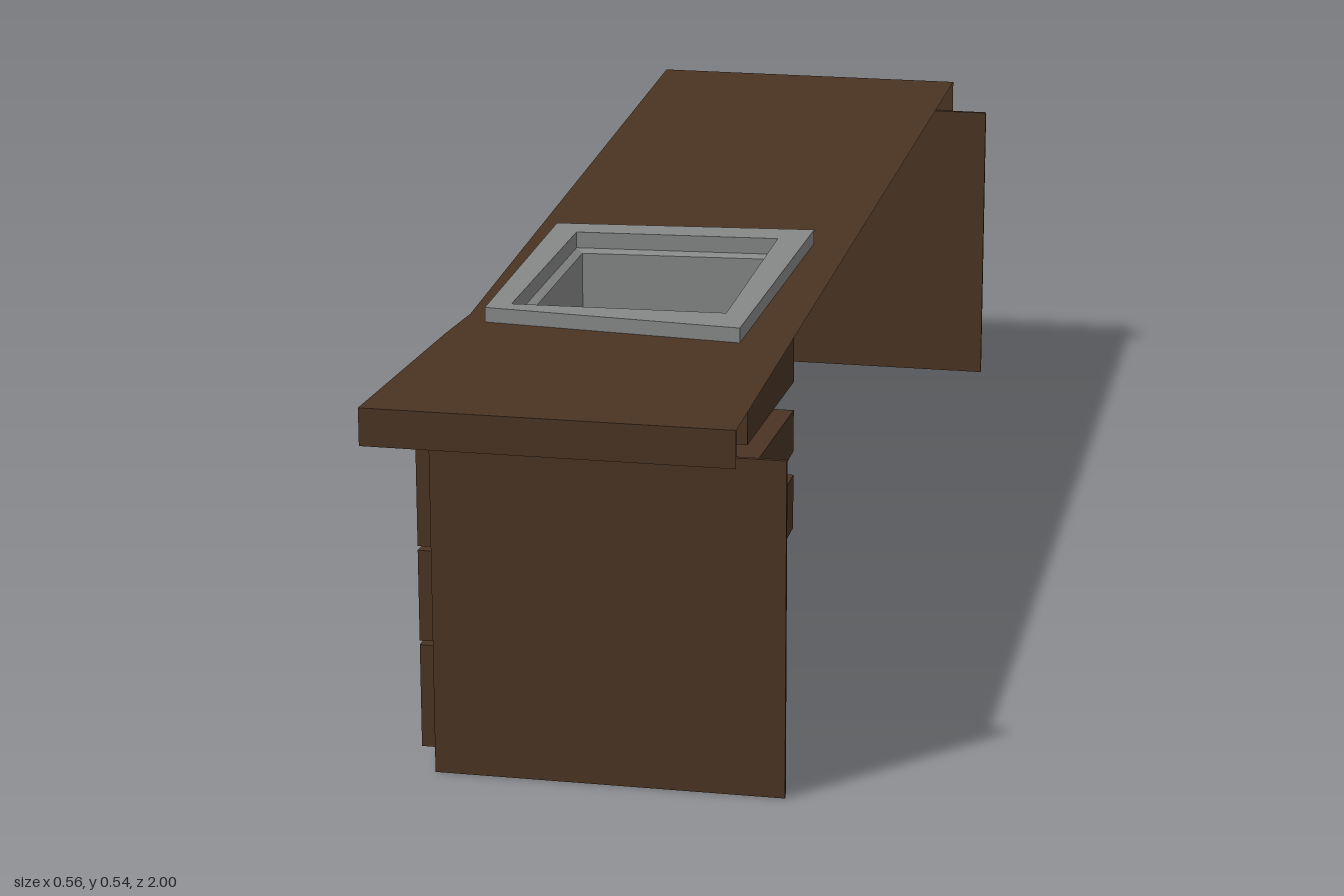
import * as THREE from 'three';

const wood = new THREE.MeshStandardMaterial({ color: 0x4a3423, side: THREE.DoubleSide });
wood.name = 'darkWood';
const steel = new THREE.MeshStandardMaterial({ color: 0x868787, side: THREE.DoubleSide });
steel.name = 'greySteel';

export function createModel() {
  const group = new THREE.Group();

  const add = (name, geometry, material) => {
    const mesh = new THREE.Mesh(geometry, material);
    mesh.name = name;
    group.add(mesh);
    return mesh;
  };
  const box = (name, material, x0, x1, y0, y1, z0, z1) => {
    const mesh = add(name, new THREE.BoxGeometry(x1 - x0, y1 - y0, z1 - z0), material);
    mesh.position.set((x0 + x1) / 2, (y0 + y1) / 2, (z0 + z1) / 2);
  };
  const toShape = (points, holes = []) => {
    const shape = new THREE.Shape(points.map(([a, b]) => new THREE.Vector2(a, b)));
    shape.holes = holes.map((h) => new THREE.Path(h.map(([a, b]) => new THREE.Vector2(a, b))));
    return shape;
  };
  // Slab with a [z, y] outline, running from x0 to x1
  const slab = (name, points, x0, x1, holes) => {
    const g = new THREE.ExtrudeGeometry(toShape(points, holes), { depth: x1 - x0, bevelEnabled: false });
    g.rotateY(-Math.PI / 2).translate(x1, 0, 0);
    return add(name, g, wood);
  };
  // Flat horizontal sheet with an [x, z] outline
  const sheet = (name, points, y, material, holes = []) => {
    const flip = (loop) => loop.map(([x, z]) => [x, -z]);
    const g = new THREE.ShapeGeometry(toShape(flip(points), holes.map(flip)));
    g.rotateX(-Math.PI / 2).translate(0, y, 0);
    add(name, g, material);
  };
  // Flat-faced skin through closed [x, z] loops at given heights
  const skin = (name, loops, material, skip = -1) => {
    const v = [];
    for (let k = 0; k < loops.length - 1; k++) {
      const [A, ya] = loops[k], [B, yb] = loops[k + 1];
      for (let i = 0; i < A.length; i++) {
        if (i === skip) continue;
        const j = (i + 1) % A.length;
        const a = [A[i][0], ya, A[i][1]], b = [A[j][0], ya, A[j][1]];
        const c = [B[j][0], yb, B[j][1]], d = [B[i][0], yb, B[i][1]];
        v.push(...a, ...b, ...c, ...a, ...c, ...d);
      }
    }
    const g = new THREE.BufferGeometry();
    g.setAttribute('position', new THREE.Float32BufferAttribute(v, 3));
    g.computeVertexNormals();
    add(name, g, material);
  };
  const rect = (a0, a1, b0, b1) => [[a0, b0], [a1, b0], [a1, b1], [a0, b1]];

  // Sink outlines, counter-clockwise seen from above
  const rim = [[-0.21, 0.585], [0.155, 0.617], [0.167, 0.09], [-0.215, 0.125]];
  const opening = [[-0.178, 0.56], [0.123, 0.548], [0.123, 0.15], [-0.175, 0.17]];
  const basin = [[-0.166, 0.549], [0.111, 0.537], [0.111, 0.161], [-0.164, 0.181]];

  // Countertop: hollow underneath and open along the +x edge
  const counter = [[0.223, 1], [0.223, -1], [-0.282, -1], [-0.255, 0],
    [-0.247, 0.3], [-0.24, 0.55], [-0.25, 0.65], [-0.275, 1]];
  sheet('countertop', counter, 0.518, wood, [opening]);
  skin('countertopEdge', [[counter, 0.466], [counter, 0.518]], wood, 0);

  // Sink
  skin('sink', [[rim, 0.51], [rim, 0.539], [opening, 0.539], [opening, 0.515],
    [basin, 0.51], [basin, 0.418]], steel);
  skin('sinkOuterWall', [[opening, 0.515], [opening, 0.418]], steel);
  sheet('sinkBottom', opening, 0.418, steel);

  // End panels
  box('endPanelBack', wood, -0.193, 0.281, 0, 0.467, -1, -0.994);
  box('endPanelFront', wood, -0.193, 0.281, 0, 0.467, 0.952, 0.958);

  // Face frame with two door openings and two drawer openings
  slab('faceFrame', rect(-1, 0.958, 0, 0.466), -0.193, -0.183, [
    rect(-0.955, -0.5, 0.035, 0.445), rect(-0.48, -0.022, 0.035, 0.445),
    rect(0.045, 0.425, 0.05, 0.4), rect(0.51, 0.905, 0.05, 0.4),
  ]);

  // Handle bar with two posts, along z or y
  const handle = (name, y, z, upright) => {
    const h = upright ? 0.07 : 0.0125, w = upright ? 0.0125 : 0.08;
    box(name + 'Bar', steel, -0.253, -0.234, y - h, y + h, z - w, z + w);
    for (const s of [-1, 1]) {
      const py = upright ? y + s * 0.06 : y, pz = upright ? z : z + s * 0.068;
      const ph = upright ? 0.01 : h, pw = upright ? w : 0.012;
      box(name + 'Post', steel, -0.234, -0.217, py - ph, py + ph, pz - pw, pz + pw);
    }
  };

  // Doors
  for (const [z0, z1, hz] of [[-0.962, -0.492, -0.565], [-0.488, -0.016, -0.425]]) {
    box('door', wood, -0.218, -0.193, 0.025, 0.453, z0, z1);
    handle('doorHandle', 0.25, hz, true);
  }

  // Two columns of three drawers; the upper joint slopes
  for (const [z0, z1, b0, b1] of [[-0.01, 0.459, 0.045, 0.425], [0.463, 0.932, 0.51, 0.905]]) {
    slab('drawerFront', rect(z0, z1, 0.025, 0.17), -0.218, -0.193);
    slab('drawerFront', [[z0, 0.176], [z1, 0.176], [z1, 0.303], [z0, 0.28]], -0.218, -0.193);
    slab('drawerFront', [[z0, 0.286], [z1, 0.309], [z1, 0.453], [z0, 0.453]], -0.218, -0.193);
    slab('drawerBox', rect(b0, b1, 0.055, 0.14), -0.193, 0.13);
    slab('drawerBox', [[b0, 0.178], [b1, 0.178], [b1, 0.265], [b0, 0.243]], -0.193, 0.13);
    slab('drawerBox', [[b0, 0.288], [b1, 0.309], [b1, 0.397], [b0, 0.397]], -0.193, 0.13);
    for (const y of [0.113, 0.221, 0.353]) handle('drawerHandle', y, (z0 + z1) / 2, false);
  }
  return group;
}
